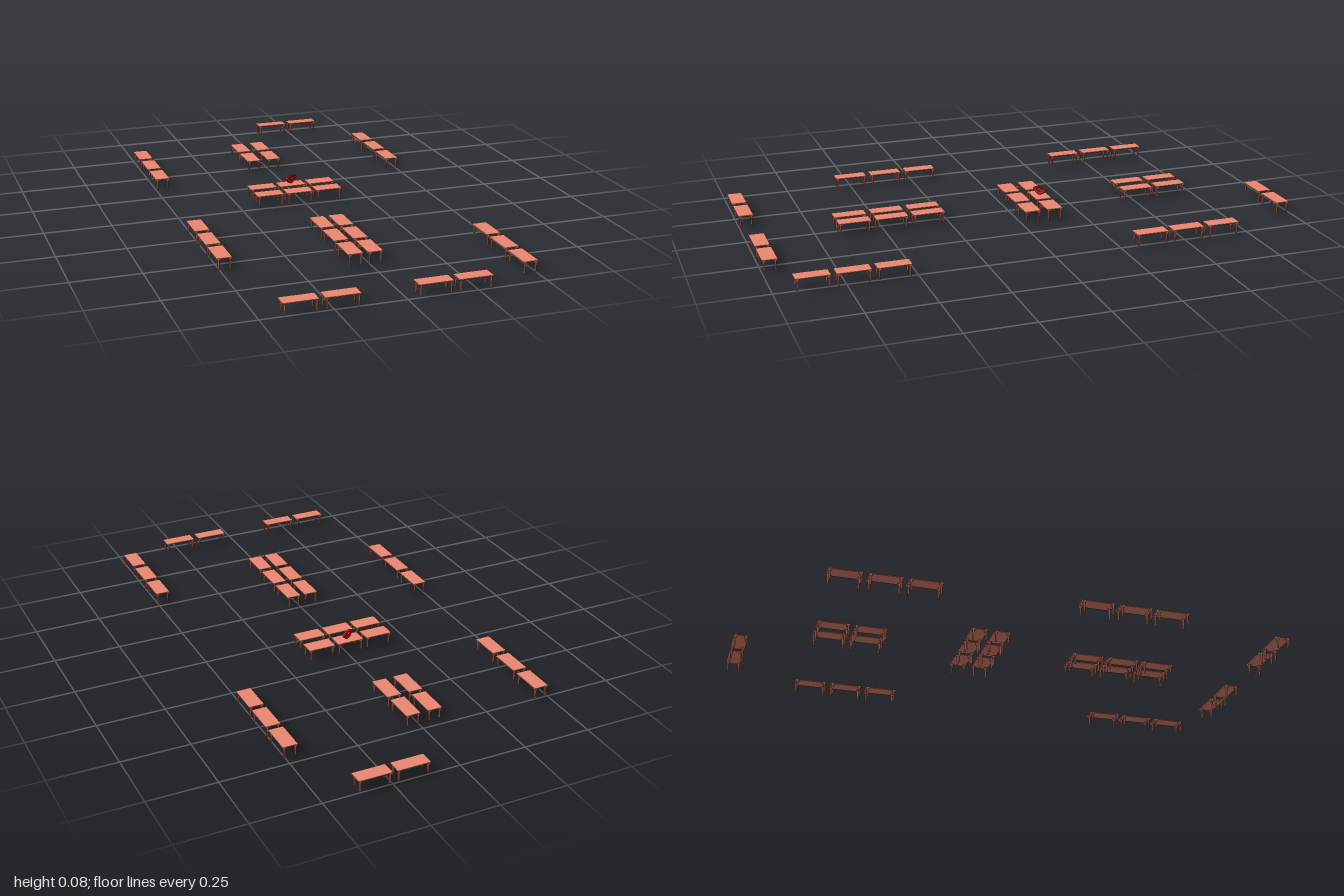
import * as THREE from 'three';

const wood = new THREE.MeshStandardMaterial({ color: 0xec8873, flatShading: true });
const red = new THREE.MeshStandardMaterial({ color: 0xd81818, flatShading: true });
const HEIGHT = 0.044, SLAB = 0.004;

// Four-sided leg that flares where it meets the table top
const legProfile = [[0, 0], [0.0036, 0], [0.0042, 0.029], [0.0054, 0.035], [0.0098, HEIGHT - SLAB]]
  .map(([r, y]) => new THREE.Vector2(r, y));
const legGeometry = new THREE.LatheGeometry(legProfile, 4, Math.PI / 4);

function makeTable(width, depth) {
  const table = new THREE.Group();
  table.name = 'table';
  const top = new THREE.Mesh(new THREE.BoxGeometry(width, SLAB, depth), wood);
  top.name = 'tableTop';
  top.position.y = HEIGHT - SLAB / 2;
  table.add(top);
  for (const sx of [-1, 1]) for (const sz of [-1, 1]) {
    const leg = new THREE.Mesh(legGeometry, wood);
    leg.name = 'tableLeg';
    leg.position.set(sx * (width / 2 - 0.0075), 0, sz * (depth / 2 - 0.0075));
    table.add(leg);
  }
  return table;
}

// Pointed, rounded ornament with an opening, standing on the middle table
function makeOrnament() {
  const shape = new THREE.Shape();
  shape.moveTo(0, 0);
  shape.quadraticCurveTo(0.016, 0.004, 0.028, 0.017);
  shape.quadraticCurveTo(0.029, 0.024, 0.018, 0.026);
  shape.quadraticCurveTo(0, 0.029, -0.018, 0.026);
  shape.quadraticCurveTo(-0.029, 0.024, -0.028, 0.017);
  shape.quadraticCurveTo(-0.016, 0.004, 0, 0);
  const hole = new THREE.Path();
  hole.absellipse(0, 0.019, 0.014, 0.0068, 0, Math.PI * 2, true);
  shape.holes.push(hole);
  const geometry = new THREE.ExtrudeGeometry(shape, {
    depth: 0.004, bevelEnabled: true, bevelThickness: 0.003,
    bevelSize: 0.0015, bevelSegments: 2, curveSegments: 8,
  });
  geometry.translate(0, 0.0025, -0.002);
  const ornament = new THREE.Mesh(geometry, red);
  ornament.name = 'ornament';
  ornament.position.set(-0.015, HEIGHT, -0.134);
  ornament.rotation.y = 0.59;
  return ornament;
}

export function createModel() {
  const model = new THREE.Group();
  model.name = 'tableLayout';
  const L = 0.123, W = 0.056;

  // Each block is a grid of equal tables: name, table width and depth, x centres, z centres
  const blocks = [
    ['backRow', L, W, [0.171, 0.311], [-0.972]],
    ['rightBackColumn', W, L, [-0.473], [-0.69, -0.549, -0.408]],
    ['leftBackColumn', W, L, [0.481], [-0.655, -0.514, -0.373]],
    ['middleBackBlock', W, L, [-0.063, 0.021], [-0.658, -0.519]],
    ['centreBlock', 0.104, 0.063, [-0.133, -0.016, 0.101], [-0.133, -0.046]],
    ['rightFrontColumn', W, L, [-0.483], [0.216, 0.359, 0.5]],
    ['middleFrontBlock', W, L, [-0.052, 0.021], [0.326, 0.467, 0.608]],
    ['leftFrontColumn', W, L, [0.477], [0.581, 0.722, 0.863]],
    ['rightFrontRow', L, W, [-0.361, -0.219], [0.972]],
    ['leftFrontRow', L, W, [0.102, 0.243], [0.97]],
  ];
  for (const [name, width, depth, xs, zs] of blocks) {
    const block = new THREE.Group();
    block.name = name;
    for (const x of xs) for (const z of zs) {
      const table = makeTable(width, depth);
      table.position.set(x, 0, z);
      block.add(table);
    }
    model.add(block);
  }
  model.add(makeOrnament());
  return model;
}
